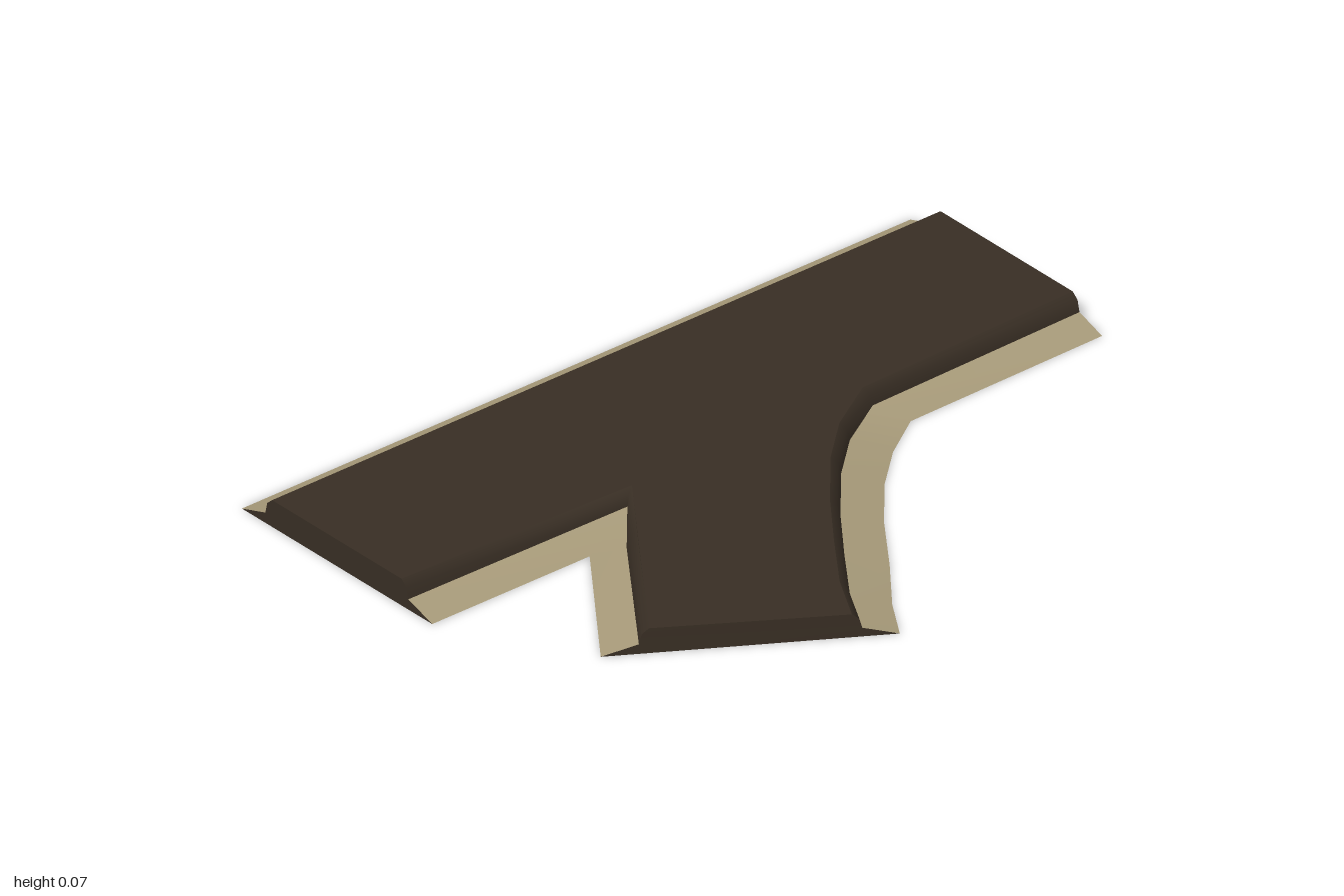
import * as THREE from 'three';

const asphalt = new THREE.MeshStandardMaterial({ color: 0x382e24, side: THREE.DoubleSide });
asphalt.name = 'asphalt';
const gravel = new THREE.MeshStandardMaterial({ color: 0xa89b7a, side: THREE.DoubleSide });
gravel.name = 'gravel';

// Each rail pairs the outer shoulder edge with the kerb toe: [outerX, outerZ, toeX, toeZ]
const rails = {
  straightSide: [[-0.695, 1, -0.612, 1], [-0.7, -1, -0.617, -1]],
  outerBend: [
    [-0.02, -1, -0.1, -1], [-0.01, -0.42, -0.085, -0.37], [0.07, -0.3, 0, -0.23],
    [0.17, -0.19, 0.1, -0.12], [0.3, -0.08, 0.24, 0], [0.45, 0.03, 0.385, 0.11],
    [0.59, 0.14, 0.53, 0.215], [0.7, 0.21, 0.655, 0.284],
  ],
  innerFork: [
    [0.34, 0.8, 0.385, 0.724], [-0.02, 0.53, 0.04, 0.47],
    [-0.02, 0.53, -0.1, 0.35], [-0.02, 1, -0.105, 1],
  ],
};

// The side branch falls away gently
const roadHeight = (x, y) => y * (1 - 0.22 * Math.max(0, x));

// Cross-section at one rail station: shoulder edge, kerb toe, kerb face, road edge
function section([ox, oz, tx, tz]) {
  const d = Math.hypot(tx - ox, tz - oz);
  const dx = (tx - ox) / d, dz = (tz - oz) / d;
  const inward = (s, y) => new THREE.Vector3(tx + dx * s, roadHeight(tx, y), tz + dz * s);
  return [new THREE.Vector3(ox, 0, oz), inward(0, 0.027), inward(0.007, 0.056), inward(0.024, 0.071)];
}

// Surface through rows of points
function loft(rows) {
  const n = rows[0].length, index = [];
  for (let r = 0; r < rows.length - 1; r++) {
    for (let i = 0; i < n - 1; i++) {
      const a = r * n + i, b = a + n;
      index.push(a, b, b + 1, a, b + 1, a + 1);
    }
  }
  const g = new THREE.BufferGeometry().setFromPoints(rows.flat());
  g.setIndex(index);
  g.computeVertexNormals();
  return g;
}

export function createModel() {
  const model = new THREE.Group();
  model.name = 'roadJunction';
  const add = (name, geometry, material) => {
    const mesh = new THREE.Mesh(geometry, material);
    mesh.name = name;
    model.add(mesh);
  };

  // Shoulders and kerbs along every rail
  const names = Object.keys(rails);
  const sections = names.map((name) => rails[name].map(section));
  sections.forEach((stations, i) => {
    const level = (k) => stations.map((s) => s[k]);
    add(names[i] + 'Shoulder', loft([level(0), level(1)]), gravel);
    add(names[i] + 'Kerb', loft([level(1), level(2), level(3)]), asphalt);
  });

  // End walls close the three road mouths
  ['backEnd', 'branchEnd', 'frontEnd'].forEach((name, i) => {
    const from = sections[i][sections[i].length - 1];
    const to = sections[(i + 1) % 3][0];
    add(name, loft([to, from]), asphalt);
  });

  // Road surface spans the kerb tops
  const edge = sections.flat().map((s) => s[3]);
  const road = new THREE.ShapeGeometry(new THREE.Shape(edge.map((p) => new THREE.Vector2(p.x, -p.z))));
  road.rotateX(-Math.PI / 2);
  const pos = road.attributes.position;
  for (let i = 0; i < pos.count; i++) {
    const p = edge.find((e) => Math.hypot(e.x - pos.getX(i), e.z - pos.getZ(i)) < 1e-4);
    pos.setY(i, p ? p.y : roadHeight(pos.getX(i), 0.071));
  }
  road.computeVertexNormals();
  add('roadSurface', road, asphalt);

  return model;
}
